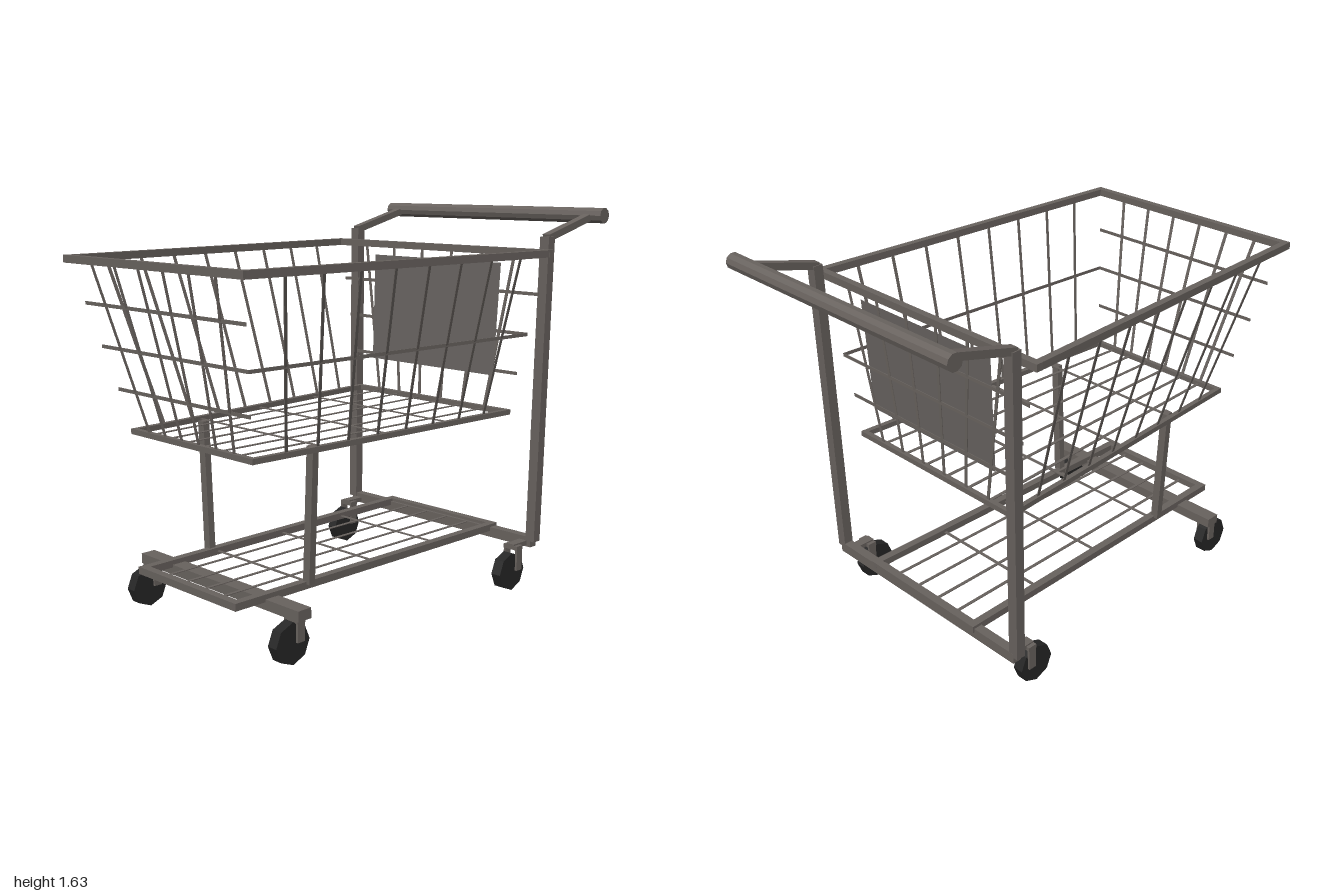
import * as THREE from 'three';

const V = (x, y, z) => new THREE.Vector3(x, y, z);
const mat = (name, color, side = THREE.FrontSide) => {
  const m = new THREE.MeshStandardMaterial({ color, side });
  m.name = name;
  return m;
};

export function createModel() {
  const root = new THREE.Group();
  root.name = 'shoppingCart';
  const steel = mat('warm grey steel', 0x68625e);
  const plate = mat('grey plate', 0x676360, THREE.DoubleSide);
  const rubber = mat('black rubber', 0x262626);

  const group = (name) => {
    const g = new THREE.Group();
    g.name = name;
    root.add(g);
    return g;
  };

  // Rectangular bar from a to b; t is its thickness along the given normal
  function bar(parent, name, a, b, w, t = w, normal = V(0, 1, 0), extend = 0) {
    const dir = b.clone().sub(a);
    const len = dir.length();
    dir.normalize();
    const side = normal.clone().cross(dir).normalize();
    const up = dir.clone().cross(side);
    const mesh = new THREE.Mesh(new THREE.BoxGeometry(w, t, len + extend), steel);
    mesh.name = name;
    mesh.quaternion.setFromRotationMatrix(new THREE.Matrix4().makeBasis(side, up, dir));
    mesh.position.copy(a).lerp(b, 0.5);
    parent.add(mesh);
    return mesh;
  }
  const wire = (parent, name, a, b, normal) => bar(parent, name, a, b, 0.014, 0.003, normal);

  // Corners: back left, front left, front right, back right
  const corners = (y, xb, zb, xf, zf) => [V(xb, y, zb), V(xf, y, zf), V(-xf, y, zf), V(-xb, y, zb)];
  const rim = corners(1.455, 0.61, -0.59, 0.525, 0.98);
  const floor = corners(0.77, 0.44, -0.555, 0.36, 0.812);
  const deck = corners(0.215, 0.305, -0.64, 0.285, 0.84);
  const loop = (parent, name, c, w, t) =>
    c.forEach((p, i) => bar(parent, name, p, c[(i + 1) % 4], w, t, V(0, 1, 0), w));

  // Basket frame
  const basket = group('basket');
  loop(basket, 'topRim', rim, 0.03, 0.03);
  loop(basket, 'bottomRim', floor, 0.022, 0.022);

  // Upright wires on the four basket walls
  const wallNormals = [V(1, 0, 0), V(0, 0, 1), V(1, 0, 0), V(0, 0, 1)];
  [9, 7, 9, 7].forEach((n, s) => {
    const e = (s + 1) % 4;
    for (let i = 1; i < n; i++) {
      wire(basket, 'wallWire', rim[s].clone().lerp(rim[e], i / n),
        floor[s].clone().lerp(floor[e], i / n), wallNormals[s]);
    }
  });

  // Level wires on the front and back walls, and one along the left wall
  const level = (i, t) => rim[i].clone().lerp(floor[i], t);
  for (const t of [0.25, 0.5, 0.75]) {
    wire(basket, 'frontLevelWire', level(1, t), level(2, t), V(0, 0, 1));
    wire(basket, 'backLevelWire', level(3, t), level(0, t), V(0, 0, 1));
  }
  wire(basket, 'sideLevelWire', level(0, 0.5), level(1, 0.5), V(1, 0, 0));

  // Wire mesh floors
  function grid(parent, name, c, lengthwise, across) {
    for (let i = 1; i < lengthwise; i++) {
      const k = i / lengthwise;
      wire(parent, name, c[0].clone().lerp(c[3], k), c[1].clone().lerp(c[2], k), V(0, 1, 0));
    }
    for (let i = 1; i < across; i++) {
      const k = i / across;
      wire(parent, name, c[0].clone().lerp(c[1], k), c[3].clone().lerp(c[2], k), V(0, 1, 0));
    }
  }
  grid(basket, 'basketFloorWire', floor, 7, 4);

  // Plate on the inside of the back wall
  const shape = new THREE.Shape([
    new THREE.Vector2(-0.36, -0.243), new THREE.Vector2(0.36, -0.243),
    new THREE.Vector2(0.37, 0.243), new THREE.Vector2(-0.37, 0.243),
  ]);
  const panel = new THREE.Mesh(new THREE.ShapeGeometry(shape), plate);
  panel.name = 'backPanel';
  panel.position.set(0, 1.162, -0.568);
  panel.rotation.x = -0.051;
  basket.add(panel);

  // Lower deck
  const lower = group('lowerDeck');
  loop(lower, 'deckRail', deck, 0.034, 0.03);
  grid(lower, 'deckWire', deck, 5, 4);
  bar(lower, 'frontAxleBar', V(-0.485, 0.19, 0.68), V(0.485, 0.19, 0.68), 0.065, 0.042);
  bar(lower, 'rearAxleBar', V(-0.545, 0.195, -0.63), V(0.545, 0.195, -0.63), 0.04, 0.045);

  // Uprights, handle arms and basket posts
  const frame = group('frame');
  for (const s of [1, -1]) {
    bar(frame, 'upright', V(s * 0.543, 0.2, -0.628), V(s * 0.556, 1.52, -0.652), 0.045, 0.042, V(0, 0, 1));
    bar(frame, 'handleArm', V(s * 0.556, 1.515, -0.645), V(s * 0.555, 1.598, -0.965), 0.036, 0.03);
    bar(frame, 'basketPost', V(s * 0.305, 0.22, 0.49), V(s * 0.33, 0.77, 0.49), 0.036, 0.03, V(0, 0, 1));
  }
  const handle = new THREE.Mesh(new THREE.CylinderGeometry(0.034, 0.034, 1.25, 10), steel);
  handle.material = steel;
  handle.geometry = handle.geometry.toNonIndexed();
  handle.geometry.computeVertexNormals();
  handle.name = 'handle';
  handle.rotation.z = Math.PI / 2;
  handle.position.set(0, 1.6, -0.966);
  frame.add(handle);

  // Casters: faceted wheel, two fork plates and a bracket
  const wheelGeo = new THREE.CylinderGeometry(0.083, 0.083, 0.046, 8).toNonIndexed();
  wheelGeo.computeVertexNormals();
  wheelGeo.rotateZ(Math.PI / 2);
  function caster(name, x, z, forkZ, top) {
    const g = group(name);
    const wheel = new THREE.Mesh(wheelGeo, rubber);
    wheel.name = 'wheel';
    wheel.position.set(x, 0.083, z);
    g.add(wheel);
    for (const s of [1, -1]) {
      bar(g, 'forkPlate', V(x + s * 0.031, 0.085, forkZ), V(x + s * 0.031, top, forkZ), 0.036, 0.01, V(1, 0, 0));
    }
    bar(g, 'forkBracket', V(x - 0.036, top, forkZ), V(x + 0.036, top, forkZ), 0.04, 0.018);
  }
  for (const s of [1, -1]) {
    caster('frontCaster', s * 0.441, 0.72, 0.69, 0.168);
    caster('rearCaster', s * 0.505, -0.505, -0.54, 0.185);
    bar(root, 'rearCasterArm', V(s * 0.505, 0.19, -0.63), V(s * 0.505, 0.19, -0.52), 0.04, 0.02);
  }
  return root;
}
